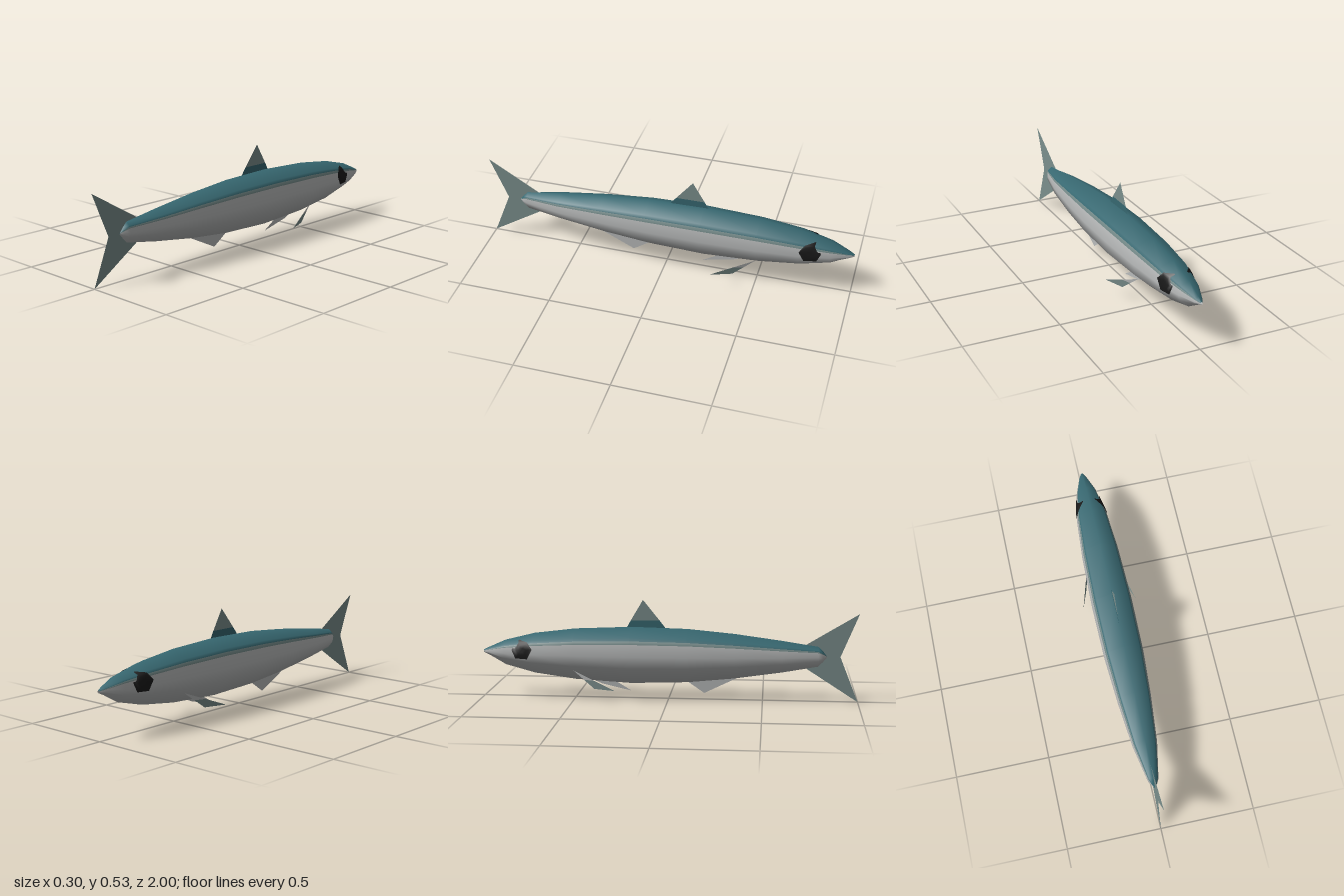
import * as THREE from 'three';

const mat = (name, color, side = THREE.FrontSide) => {
  const m = new THREE.MeshStandardMaterial({ color, side });
  m.name = name;
  return m;
};

// Body stations: z, half width, top y, bottom y
const STATIONS = [
  [-1, 0.006, 0.25, 0.236], [-0.97, 0.022, 0.265, 0.222], [-0.88, 0.055, 0.305, 0.17],
  [-0.72, 0.086, 0.345, 0.127], [-0.5, 0.102, 0.372, 0.097], [-0.2, 0.11, 0.385, 0.08],
  [0.1, 0.106, 0.378, 0.09], [0.35, 0.09, 0.355, 0.115], [0.6, 0.065, 0.322, 0.152],
  [0.79, 0.028, 0.293, 0.187], [0.815, 0.015, 0.268, 0.213], [0.835, 0.001, 0.242, 0.238],
];
const MID = 0.24;
// Half cross-section from back ridge to keel, in units of half width and height
const SECTION = [[0, 1], [0.77, 0.69], [0.85, 0.57], [0.93, 0.45], [1, 0], [0.93, -0.39], [0, -1]];
const RING = [...SECTION, ...SECTION.slice(1, -1).reverse().map(([x, y]) => [-x, y])];
// Material slot of each strip on one side: 0 back, 1 band, 2 silver
const STRIPS = [0, 0, 1, 2, 2, 2];

function bodyGeometry() {
  const pos = [], index = [], n = RING.length;
  const geo = new THREE.BufferGeometry();
  for (const [z, w, top, bottom] of STATIONS) {
    for (const [x, y] of RING) pos.push(x * w, MID + y * (y > 0 ? top - MID : MID - bottom), z);
  }
  for (let j = 0; j < n; j++) {
    const start = index.length, k = (j + 1) % n;
    for (let i = 0; i < STATIONS.length - 1; i++) {
      const a = i * n + j, b = i * n + k, c = a + n, d = b + n;
      index.push(a, c, b, b, c, d);
    }
    geo.addGroup(start, index.length - start, STRIPS[Math.min(j, n - 1 - j)]);
  }
  geo.setAttribute('position', new THREE.Float32BufferAttribute(pos, 3));
  geo.setIndex(index);
  geo.computeVertexNormals();
  return geo;
}

// Half width of the body at a height and station
function bodyX(y, z) {
  const i = Math.max(0, STATIONS.findIndex((s) => s[0] > z) - 1);
  const a = STATIONS[i], b = STATIONS[i + 1], t = (z - a[0]) / (b[0] - a[0]);
  const [, w, top, bottom] = a.map((v, k) => v + (b[k] - v) * t);
  const v = (y - MID) / (y > MID ? top - MID : MID - bottom);
  for (let k = 0; k < SECTION.length - 1; k++) {
    const [x0, y0] = SECTION[k], [x1, y1] = SECTION[k + 1];
    if (v <= y0 && v >= y1) return w * (x0 + (x1 - x0) * (y0 - v) / (y0 - y1));
  }
  return 0;
}

// Flat convex fin from a fan of points
function fan(points) {
  const geo = new THREE.BufferGeometry().setFromPoints(points.map((p) => new THREE.Vector3(...p)));
  const index = [];
  for (let i = 1; i < points.length - 1; i++) index.push(0, i, i + 1);
  geo.setIndex(index);
  geo.computeVertexNormals();
  return geo;
}

// Six-sided eye patch laid over the curved side of the head
function eyeGeometry(side) {
  const outline = [[-0.75, 0.304], [-0.8, 0.312], [-0.835, 0.262], [-0.815, 0.217], [-0.75, 0.215], [-0.722, 0.268]];
  const cz = -0.78, cy = 0.262, pos = [], index = [], steps = 4;
  const add = (z, y) => pos.push(side * (bodyX(y, z) + 0.005), y, z);
  add(cz, cy);
  for (let r = 1; r <= steps; r++) {
    for (const [z, y] of outline) add(cz + (z - cz) * r / steps, cy + (y - cy) * r / steps);
  }
  for (let j = 0; j < 6; j++) {
    const k = (j + 1) % 6;
    index.push(0, 1 + j, 1 + k);
    for (let r = 0; r < steps - 1; r++) {
      const a = 1 + r * 6 + j, b = 1 + r * 6 + k;
      index.push(a, a + 6, b, b, a + 6, b + 6);
    }
  }
  // Wind outward on the mirrored side
  if (side > 0) for (let i = 0; i < index.length; i += 3) [index[i + 1], index[i + 2]] = [index[i + 2], index[i + 1]];
  const geo = new THREE.BufferGeometry();
  geo.setAttribute('position', new THREE.Float32BufferAttribute(pos, 3));
  geo.setIndex(index);
  geo.computeVertexNormals();
  return geo;
}

export function createModel() {
  const group = new THREE.Group();
  const teal = mat('teal back', 0x376871, THREE.DoubleSide);
  const band = mat('grey green band', 0x758b8a);
  const silver = mat('silver side', 0xb9bbbb, THREE.DoubleSide);
  const finGrey = mat('fin grey', 0x7b8f8d, THREE.DoubleSide);
  const black = mat('eye black', 0x191919, THREE.DoubleSide);
  const add = (name, geo, material) => {
    const mesh = new THREE.Mesh(geo, material);
    mesh.name = name;
    group.add(mesh);
  };
  const flat = (list) => fan(list.map(([z, y]) => [0, y, z]));

  add('body', bodyGeometry(), [teal, band, silver]);

  // Fins on the centre line
  add('tailFinUpper', flat([[0.72, 0.3], [1, 0.47], [0.905, 0.24], [0.72, 0.24]]), finGrey);
  add('tailFinLower', flat([[0.72, 0.18], [0.72, 0.24], [0.905, 0.24], [1, 0]]), finGrey);
  add('dorsalFinBase', flat([[-0.02, 0.37], [-0.02, 0.384], [-0.048, 0.42], [-0.202, 0.42], [-0.222, 0.384], [-0.222, 0.37]]), teal);
  add('dorsalFinTip', flat([[-0.048, 0.42], [-0.137, 0.53], [-0.202, 0.42]]), finGrey);
  add('analFin', flat([[0.365, 0.118], [0.19, 0.033], [0.1, 0.095]]), silver);
  add('pelvicFin', flat([[-0.28, 0.087], [-0.2, 0.038], [-0.36, 0.075], [-0.42, 0.1]]), silver);

  // Paired fins and eyes
  for (const side of [1, -1]) {
    const label = side > 0 ? 'left' : 'right';
    const root = [side * 0.075, 0.157, -0.5], tip = [side * 0.148, 0.067, -0.27], front = [side * 0.106, 0.067, -0.385];
    const half = (p) => p.map((v, i) => (v + root[i]) / 2);
    add(label + 'PectoralFinRoot', fan([root, half(tip), half(front)]), silver);
    add(label + 'PectoralFinTip', fan([half(tip), tip, front, half(front)]), finGrey);
    add(label + 'Eye', eyeGeometry(side), black);
  }
  return group;
}
